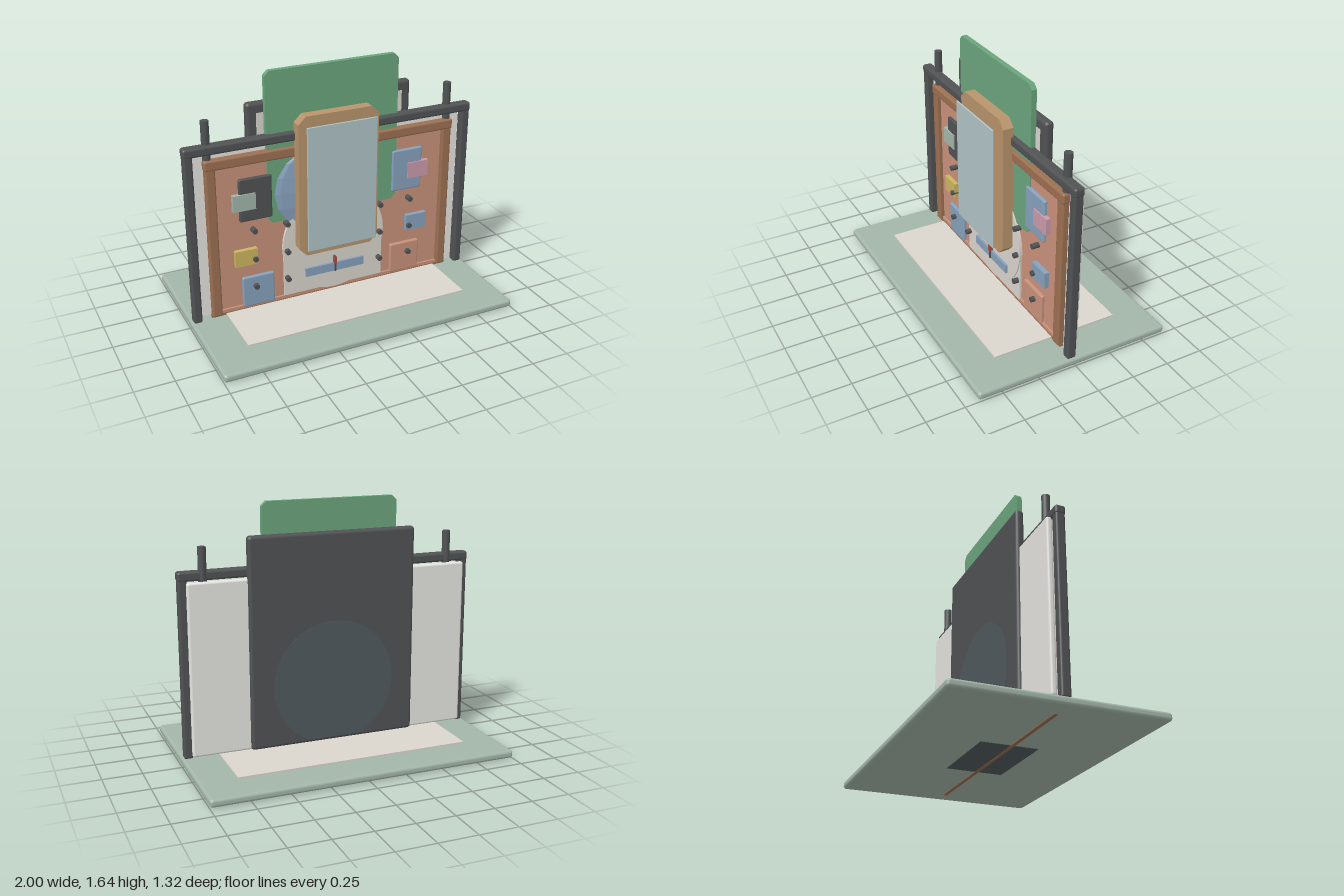
import * as THREE from 'three';
import { RoundedBoxGeometry } from 'three/addons/geometries/RoundedBoxGeometry.js';

const C = {
  sage: 0xa3b6a9, cream: 0xdad5cd, white: 0xe6e5e1, dark: 0x505254, slate: 0x50595d,
  brown: 0x9c7052, clay: 0xc8917a, green: 0x6ba57d, blue: 0x87a1bd, tan: 0xb8946c,
  glass: 0xb0c4c6, yellow: 0xcdb560, pink: 0xcb9aab, red: 0xb04a3a,
};

export function createModel() {
  const model = new THREE.Group();
  const materials = {};
  const mat = (name) => (materials[name] ??= new THREE.MeshStandardMaterial({ color: C[name] }));

  const add = (name, geometry, color, x = 0, y = 0, z = 0) => {
    const mesh = new THREE.Mesh(geometry, mat(color));
    mesh.name = name;
    mesh.position.set(x, y, z);
    model.add(mesh);
    return mesh;
  };

  // Box given by its limits; a radius rounds the edges
  const box = (name, color, [x0, x1], [y0, y1], [z0, z1], r = 0) => {
    const size = [x1 - x0, y1 - y0, z1 - z0];
    const geometry = r ? new RoundedBoxGeometry(...size, 3, r) : new THREE.BoxGeometry(...size);
    return add(name, geometry, color, (x0 + x1) / 2, (y0 + y1) / 2, (z0 + z1) / 2);
  };

  // Upright plate with cut corners
  const cutPlate = (name, color, w, [y0, y1], [z0, z1], c) => {
    const s = new THREE.Shape([
      [-w + c, y0], [w - c, y0], [w, y0 + c], [w, y1 - c],
      [w - c, y1], [-w + c, y1], [-w, y1 - c], [-w, y0 + c],
    ].map(([x, y]) => new THREE.Vector2(x, y)));
    const geometry = new THREE.ExtrudeGeometry(s, { depth: z1 - z0, bevelEnabled: false });
    return add(name, geometry, color, 0, 0, z0);
  };

  // Round rod along z
  const disc = (name, color, r, x, y, [z0, z1], sides = 48) => {
    const geometry = new THREE.CylinderGeometry(r, r, z1 - z0, sides).rotateX(Math.PI / 2);
    return add(name, geometry, color, x, y, (z0 + z1) / 2);
  };

  // Base with its mat and underside pad
  box('base', 'sage', [-1, 1], [0.003, 0.055], [-0.66, 0.66], 0.02);
  box('baseMat', 'cream', [-0.765, 0.765], [0.05, 0.066], [-0.43, 0.43]);
  box('undersidePad', 'slate', [-0.28, 0.28], [0, 0.02], [-0.185, 0.185]);
  box('sill', 'brown', [-0.86, 0.86], [-0.001, 0.072], [0.005, 0.03]);

  // Back layers
  box('whitePanel', 'white', [-0.94, 0.94], [0.07, 1.18], [-0.05, -0.012], 0.015);
  box('whiteBacking', 'white', [-0.925, 0.925], [0.065, 1.17], [-0.02, 0.0]);
  box('backSlab', 'dark', [-0.562, 0.562], [0.068, 1.443], [-0.072, -0.014], 0.022);
  box('slabLining', 'cream', [-0.5, 0.5], [0.1, 1.378], [-0.03, -0.012]);

  // Flat disc on the back, trimmed by the slab's lower edge
  const cut = Math.asin(0.37 / 0.41);
  const seal = new THREE.Shape();
  seal.absarc(0, 0, 0.41, -cut, Math.PI + cut, false);
  const sealGeometry = new THREE.ExtrudeGeometry(seal, { depth: 0.004, bevelEnabled: false, curveSegments: 32 });
  add('backDisc', sealGeometry, 'slate', 0, 0.46, -0.0745);

  // Clay board and the green card behind the rails
  box('board', 'clay', [-0.8, 0.8], [0.07, 1.08], [-0.005, 0.012]);
  box('boardLedge', 'clay', [-0.79, 0.79], [0.072, 0.09], [0, 0.025]);
  cutPlate('greenCard', 'green', 0.453, [0.64, 1.642], [-0.014, 0.021], 0.03);

  // Outer dark frame, inner brown frame and top pins
  for (const s of [-1, 1]) {
    const span = (a, b) => (s > 0 ? [a, b] : [-b, -a]);
    box('outerPost', 'dark', span(0.928, 0.985), [0.05, 1.2], [-0.012, 0.05], 0.014);
    box('innerPost', 'brown', span(0.79, 0.855), [0.06, 1.1], [-0.01, 0.042], 0.012);
    add('pin', new THREE.CylinderGeometry(0.026, 0.026, 0.29, 20), 'dark', s * 0.83, 1.245, 0.002);
  }
  box('outerRail', 'dark', [-0.988, 0.988], [1.182, 1.243], [-0.015, 0.053], 0.016);
  box('innerRail', 'brown', [-0.86, 0.86], [1.075, 1.142], [-0.01, 0.045], 0.012);

  // Faceted blue dome beside the centre panel
  const dome = add('blueDome', new THREE.SphereGeometry(0.28, 12, 8), 'blue', -0.13, 0.83, 0.02);
  dome.material = new THREE.MeshStandardMaterial({ color: C.blue, flatShading: true });
  dome.scale.z = 0.1;

  // White dial with its straight apron
  box('dialApron', 'cream', [-0.356, 0.356], [0.068, 0.38], [0.005, 0.025]);
  disc('dial', 'cream', 0.362, 0, 0.44, [0.01, 0.032]);
  box('gaugeBar', 'blue', [-0.21, 0.21], [0.205, 0.265], [0.02, 0.048]);
  box('needleStem', 'dark', [-0.006, 0.006], [0.205, 0.315], [0.02, 0.055]);
  box('needle', 'red', [-0.009, 0.009], [0.262, 0.312], [0.02, 0.06]);

  // Centre panel with a floating glass pane
  cutPlate('centrePanel', 'tan', 0.276, [0.4, 1.352], [0.036, 0.107], 0.05);
  box('glassPane', 'glass', [-0.241, 0.241], [0.453, 1.298], [0.15, 0.161], 0.005);

  // Tiles on the board: large and small, left edge, lower edge, colour
  for (const [x, y, h, color] of [
    [-0.645, 0.69, 0.29, 'dark'], [0.423, 0.69, 0.29, 'blue'],
    [-0.645, 0.077, 0.215, 'blue'], [0.423, 0.077, 0.215, 'clay'],
  ]) box('largeTile', color, [x, x + 0.218], [y, y + h], [0.005, 0.034], 0.01);
  for (const [x, y, color] of [
    [-0.69, 0.772, 'sage'], [0.535, 0.772, 'pink'],
    [-0.69, 0.385, 'yellow'], [0.535, 0.385, 'blue'],
  ]) box('smallTile', color, [x, x + 0.15], [y, y + 0.11], [0.01, 0.043]);

  // Pegs in rows
  for (const x of [-0.557, -0.335, 0.331, 0.553])
    for (const y of [0.222, 0.422, 0.622])
      disc('peg', 'dark', 0.018, x, y, [0, 0.06], 16);

  return model;
}
